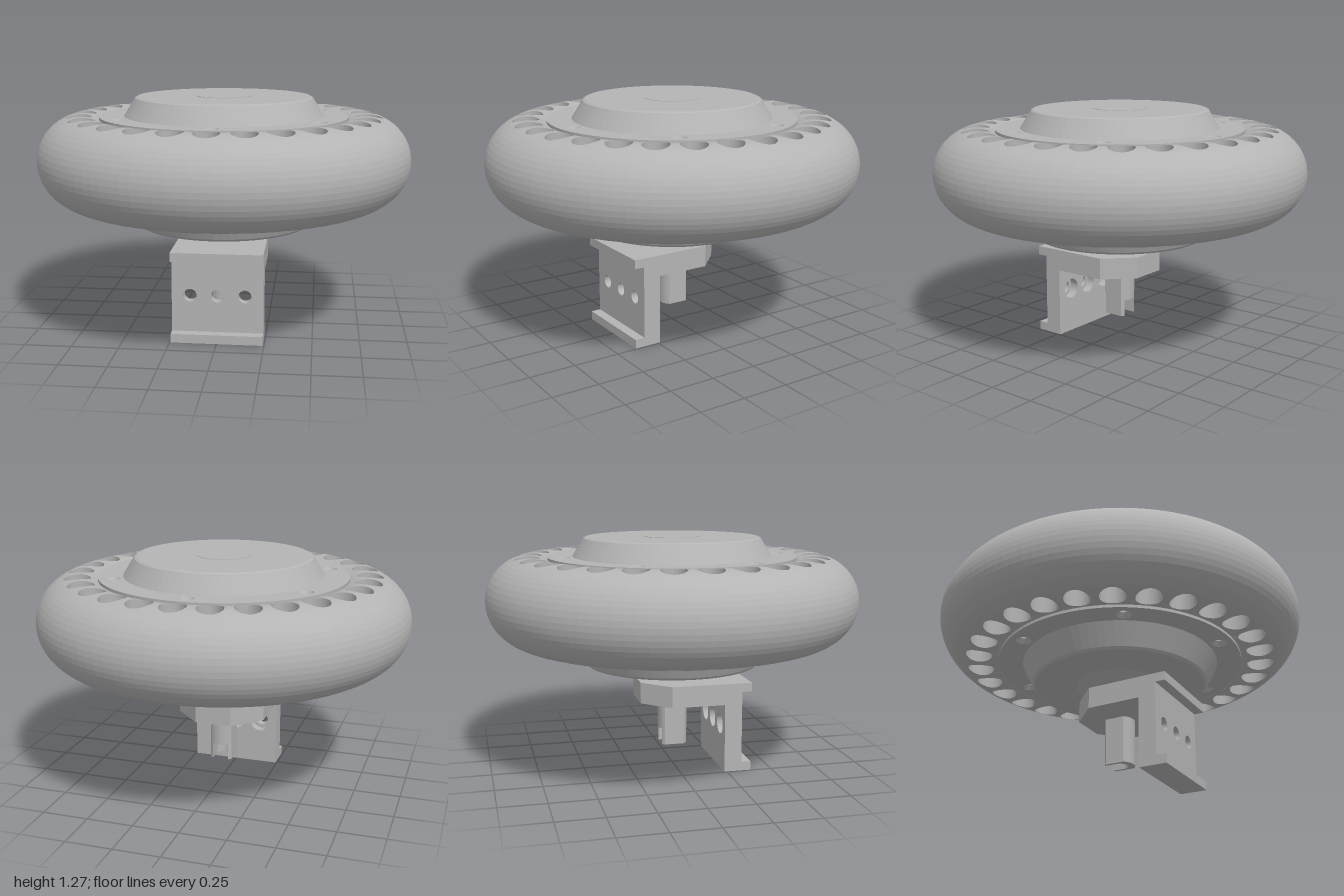
import * as THREE from 'three';

const MID = 0.935;            // height of the wheel's middle plane
const RING = 0.765, TUBE = 0.235; // tyre section centre radius and tube radius
const POCKETS = 28, POCKET_R = 0.775, INNER = 0.69, OUTER = 0.86;

const steel = new THREE.MeshStandardMaterial({ color: 0xb4b4b4, flatShading: true });
steel.name = 'steel grey';

function add(parent, name, geometry, x = 0, y = 0, z = 0) {
  const mesh = new THREE.Mesh(geometry, steel);
  mesh.name = name;
  mesh.position.set(x, y, z);
  parent.add(mesh);
  return mesh;
}

const lathe = (points, segments) =>
  new THREE.LatheGeometry(points.map(([r, y]) => new THREE.Vector2(r, y)), segments);

const circle = (x, y, r) => new THREE.Path().absarc(x, y, r, 0, Math.PI * 2, true);

// extrudes a plan shape (x, z) downwards from y = 0
const slab = (shape, depth, curveSegments = 24) =>
  new THREE.ExtrudeGeometry(shape, { depth, bevelEnabled: false, curveSegments }).rotateX(Math.PI / 2);

// height of the tyre surface above the middle plane
const tyreHeight = r => Math.sqrt(Math.max(0, TUBE * TUBE - (r - RING) ** 2));

// one band of the tyre face: a sector with an oval pocket sunk into it
function pocketBand() {
  const positions = [], index = [], n = 32, depth = 0.18;
  const half = Math.PI / POCKETS, floor = tyreHeight(POCKET_R) - depth;
  for (let cell = 0; cell < POCKETS; cell++) {
    const base = positions.length / 3;
    for (let row = 0; row < 5; row++) {
      for (let j = 0; j <= n; j++) {
        const a = (j / n) * Math.PI * 2, c = Math.cos(a), s = Math.sin(a);
        const m = Math.max(Math.abs(c), Math.abs(s));
        const size = row === 0 ? 0 : 1;
        const t = row < 3 ? 0 : (row - 2) / 2;
        const border = c / m > 0 ? OUTER : INNER;
        const edgeR = POCKET_R + (border - POCKET_R) * Math.abs(c / m);
        const r = (POCKET_R + 0.072 * c * size) * (1 - t) + edgeR * t;
        const angle = cell * 2 * half + (0.066 / POCKET_R) * s * size * (1 - t) + half * (s / m) * t;
        positions.push(r * Math.sin(angle), row < 2 ? floor : tyreHeight(r), r * Math.cos(angle));
        if (row < 4 && j < n) {
          const p = base + row * (n + 1) + j, q = p + n + 1;
          if (row > 0) index.push(p, q, p + 1);
          index.push(q, q + 1, p + 1);
        }
      }
    }
  }
  const g = new THREE.BufferGeometry();
  g.setAttribute('position', new THREE.Float32BufferAttribute(positions, 3));
  g.setIndex(index);
  g.computeVertexNormals();
  return g;
}

// one face of the wheel, pointing up, measured from the middle plane
function wheelFace(name, coneProfile) {
  const face = new THREE.Group();
  face.name = name;
  add(face, 'pocketBand', pocketBand());
  add(face, 'innerTyreEdge', lathe([INNER, 0.68, 0.66, 0.64].map(r => [r, tyreHeight(r)]), 112));

  // clamping plate with six countersunk screw holes
  const plateTop = 0.229;
  const plate = new THREE.Shape().absarc(0, 0, 0.668, 0, Math.PI * 2, false);
  plate.holes.push(circle(0, 0, 0.5));
  const sink = lathe([[0.04, 0], [0.022, -0.025], [0.022, -0.08], [0, -0.08]], 20);
  for (let i = 0; i < 6; i++) {
    const a = Math.PI / 2 + i * Math.PI / 3;
    const x = 0.593 * Math.cos(a), z = 0.593 * Math.sin(a);
    plate.holes.push(circle(x, z, 0.04));
    add(face, 'screwHole', sink, x, plateTop, z);
  }
  add(face, 'clampPlate', slab(plate, 0.1, 48), 0, plateTop, 0);
  add(face, 'hubCover', lathe(coneProfile, 72));
  return face;
}

// round shaft with two flats, optionally with a cable slot open to the back
function shaftShape(slotted) {
  const r = 0.08, flat = 0.06, a = Math.acos(flat / r), w = 0.044;
  const s = new THREE.Shape();
  if (slotted) {
    const b = Math.acos(w / r);
    s.absarc(0, 0, r, -b, -a, false);
    s.absarc(0, 0, r, a, Math.PI - a, false);
    s.absarc(0, 0, r, Math.PI + a, Math.PI + b, false);
    s.lineTo(-w, 0);
    s.absarc(0, 0, w, Math.PI, 0, true);
  } else {
    s.absarc(0, 0, r, a, Math.PI - a, false);
    s.absarc(0, 0, r, Math.PI + a, Math.PI * 2 - a, false);
  }
  s.closePath();
  return s;
}

function buildBracket() {
  const bracket = new THREE.Group();
  bracket.name = 'bracket';
  const w = 0.243;

  // top plate with chamfered back corners
  const plan = new THREE.Shape([[-w, 0.332], [-w, -0.055], [-0.1, -0.198], [0.1, -0.198], [w, -0.055], [w, 0.332]]
    .map(([x, z]) => new THREE.Vector2(x, z)));
  add(bracket, 'topPlate', slab(plan, 0.115), 0, 0.49, 0);

  // upright in two layers: narrow holes in front, wider counterbores behind
  for (const [name, z, depth, r] of [['uprightFront', 0.284, 0.048, 0.035], ['uprightBack', 0.236, 0.048, 0.055]]) {
    const s = new THREE.Shape([[-w, 0], [w, 0], [w, 0.375], [-w, 0.375]].map(([x, y]) => new THREE.Vector2(x, y)));
    for (const x of [-0.145, 0, 0.145]) s.holes.push(circle(x, 0.247, r));
    add(bracket, name, new THREE.ExtrudeGeometry(s, { depth, bevelEnabled: false, curveSegments: 24 }), 0, 0, z);
  }

  // front lips
  add(bracket, 'upperLip', new THREE.BoxGeometry(w * 2, 0.048, 0.054), 0, 0.466, 0.359);
  add(bracket, 'lowerLip', new THREE.BoxGeometry(w * 2, 0.048, 0.054), 0, 0.024, 0.359);
  return bracket;
}

export function createModel() {
  const model = new THREE.Group();
  model.name = 'hubWheel';

  // wheel
  const wheel = new THREE.Group();
  wheel.name = 'wheel';
  wheel.position.y = MID;
  model.add(wheel);
  const end = Math.acos((OUTER - RING) / TUBE), tread = [];
  for (let i = 0; i <= 18; i++) {
    const a = -end + (2 * end * i) / 18;
    tread.push([RING + TUBE * Math.cos(a), TUBE * Math.sin(a)]);
  }
  add(wheel, 'tyre', lathe(tread, 112));

  wheel.add(wheelFace('upperFace', [[0.538, 0.225], [0.482, 0.315], [0.476, 0.325], [0.464, 0.331], [0, 0.331]]));
  const lower = wheelFace('lowerFace', [[0.538, 0.225], [0.478, 0.345], [0.465, 0.357], [0.24, 0.357], [0.165, 0.394], [0, 0.394]]);
  lower.rotation.x = Math.PI;
  wheel.add(lower);
  add(wheel, 'axleCap', new THREE.CylinderGeometry(0.147, 0.147, 0.02, 48), 0, 0.323, 0);

  // axle
  add(model, 'axleNeck', new THREE.CylinderGeometry(0.081, 0.081, 0.07, 32), 0, 0.515, 0);
  add(model, 'axleShaft', slab(shaftShape(false), 0.175), 0, 0.385, 0);
  add(model, 'axleSlottedEnd', slab(shaftShape(true), 0.09), 0, 0.21, 0);

  model.add(buildBracket());
  return model;
}
